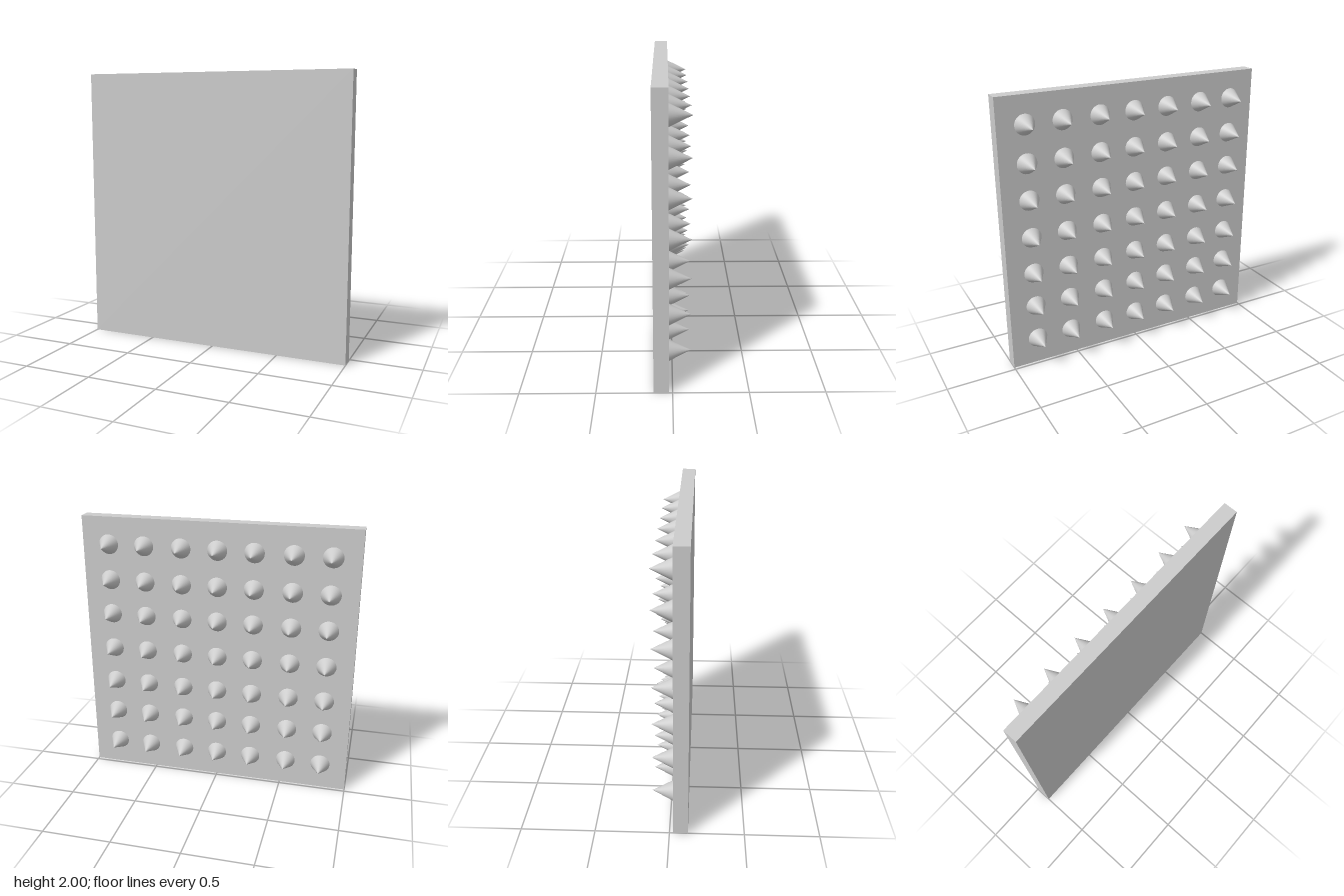
import * as THREE from 'three';

export function createModel() {
  const group = new THREE.Group();
  const material = new THREE.MeshStandardMaterial({ color: 0xcccccc });

  // Square plate, 0.1 thick
  const plate = new THREE.Mesh(new THREE.BoxGeometry(2, 2, 0.1), material);
  plate.name = 'plate';
  plate.position.set(0, 1, 0.074);
  group.add(plate);

  // Seven by seven grid of cones pointing backwards
  const length = 0.148;
  const spikeGeometry = new THREE.ConeGeometry(0.072, length, 32, 1, true);
  spikeGeometry.rotateX(-Math.PI / 2);
  const columns = [-0.805, -0.54, -0.265, 0, 0.265, 0.54, 0.805];
  const rows = [0.2, 0.468, 0.728, 1, 1.274, 1.535, 1.8];

  const spikes = new THREE.Group();
  spikes.name = 'spikes';
  for (const y of rows) {
    for (const x of columns) {
      const spike = new THREE.Mesh(spikeGeometry, material);
      spike.name = 'spike';
      spike.position.set(x, y, 0.024 - length / 2);
      spikes.add(spike);
    }
  }
  group.add(spikes);

  return group;
}
